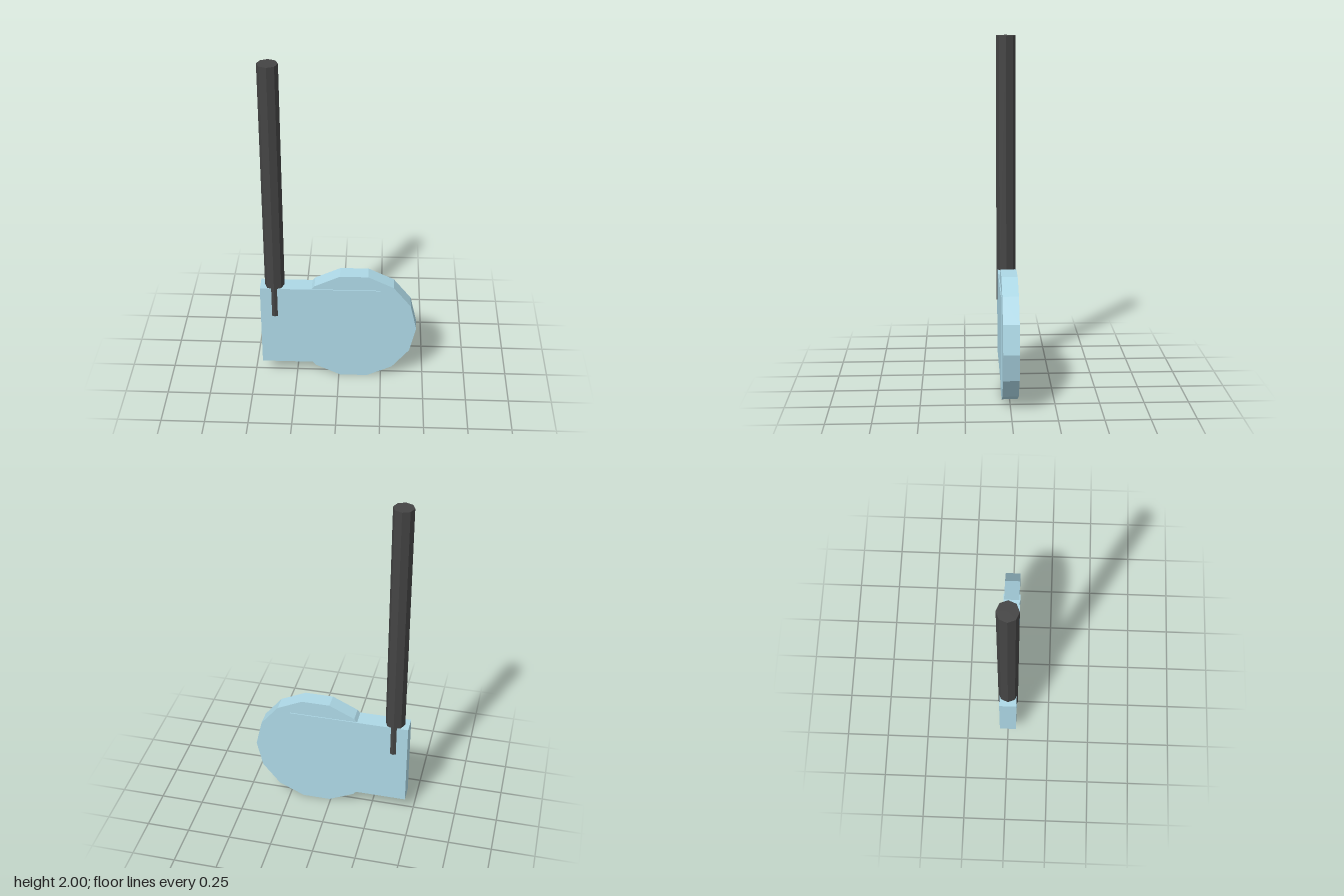
import * as THREE from 'three';

export function createModel() {
  const group = new THREE.Group();
  const blue = new THREE.MeshStandardMaterial({ color: 0xadd8e6, flatShading: true });
  const dark = new THREE.MeshStandardMaterial({ color: 0x444444, flatShading: true });

  const add = (name, geometry, material, x, y) => {
    const mesh = new THREE.Mesh(geometry, material);
    mesh.name = name;
    mesh.position.set(x, y, 0);
    group.add(mesh);
  };

  // Rectangular half of the head
  add('headBlock', new THREE.BoxGeometry(0.695, 0.525, 0.1), blue, -0.107, 0.358);

  // Rounded end: a slightly thinner 14-sided disc facing front, one corner at +x
  const disc = new THREE.CylinderGeometry(0.365, 0.365, 0.09, 14);
  disc.rotateY(Math.PI / 2).rotateX(Math.PI / 2);
  add('roundedEnd', disc, blue, 0.088, 0.356);

  // Eight-sided shaft, sunk into the block so its front and back ridges show
  add('shaft', new THREE.CylinderGeometry(0.057, 0.057, 1.57, 8), dark, -0.372, 1.215);

  return group;
}
